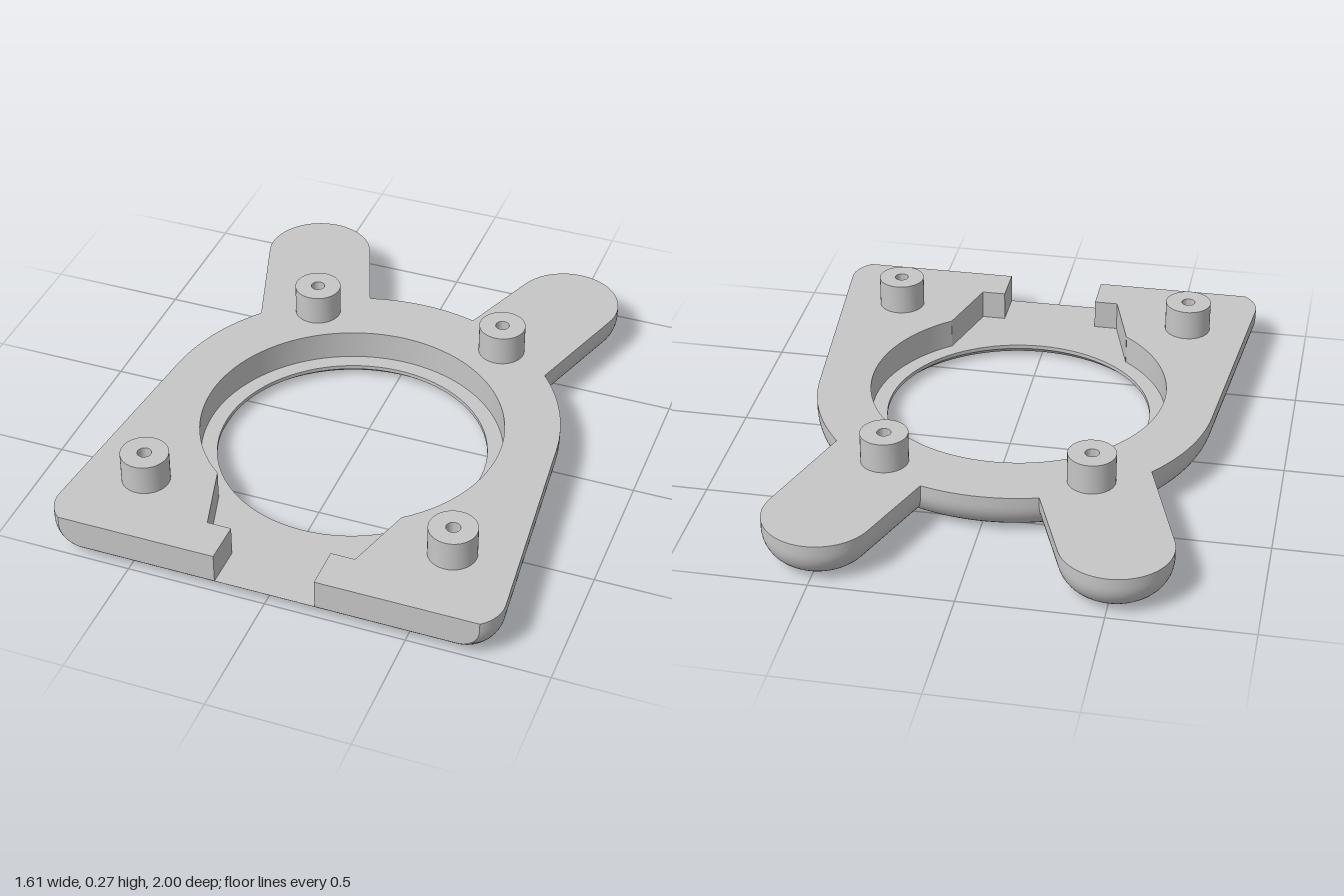
import * as THREE from 'three';
import { toCreasedNormals } from 'three/addons/utils/BufferGeometryUtils.js';

const TOP = 0.155, FLOOR = 0.045, FILLET = 0.12, HOLE_Z = 0.17, HOLE_R = 0.485;

// Fillet levels from the underside to the top face: [inset, height]
const levels = [];
const FLOOR_ANGLE = Math.acos(1 - FLOOR / FILLET);
for (let i = 0; i <= 12; i++) {
  const t = i <= 6 ? FLOOR_ANGLE * i / 6 : FLOOR_ANGLE + (Math.PI / 2 - FLOOR_ANGLE) * (i - 6) / 6;
  levels.push([FILLET * (1 - Math.sin(t)), FILLET * (1 - Math.cos(t))]);
}
levels.push([0, TOP]);

// Arc of [x, z] points, counter-clockwise seen from above
function arc(cx, cz, r, from, to, n) {
  return Array.from({ length: n + 1 }, (_, i) => {
    const b = from + (to - from) * i / n;
    return [cx + r * Math.cos(b), cz - r * Math.sin(b)];
  });
}

// Skin between rings of [x, y, z]; skip(k) leaves the closing strip open
function skin(rings, closed = true, skip = () => false) {
  const pos = [], n = rings[0].length;
  for (let k = 0; k + 1 < rings.length; k++) {
    for (let i = 0; i < n; i++) {
      if (i === n - 1 && (!closed || skip(k))) continue;
      const j = (i + 1) % n;
      const a = rings[k][i], b = rings[k][j], c = rings[k + 1][j], d = rings[k + 1][i];
      pos.push(...a, ...b, ...c, ...a, ...c, ...d);
    }
  }
  const g = new THREE.BufferGeometry();
  g.setAttribute('position', new THREE.Float32BufferAttribute(pos, 3));
  return toCreasedNormals(g, 0.5);
}

const atHeight = (pts, y) => pts.map(([x, z]) => [x, y, z]);

// Horizontal face facing up or down, with optional holes
function flat(pts, y, up, holes = []) {
  const s = up ? -1 : 1;
  const vec = (list) => list.map(([x, z]) => new THREE.Vector2(x, s * z));
  const shape = new THREE.Shape(vec(pts));
  holes.forEach((h) => shape.holes.push(new THREE.Path(vec(h))));
  return new THREE.ShapeGeometry(shape).rotateX(s * Math.PI / 2).translate(0, y, 0);
}

// Body outline: round back, tapered sides, rounded front corners cut flat at z = 1.
// The third value marks the points of the small side notches.
function bodyOutline(inset) {
  const a = 0.094, r = 0.13 - inset, cx = 0.675, cz = 0.896;
  const cut = -Math.asin(Math.min(1, (1 - cz) / r));
  const corner = [
    ...arc(cx, cz, r, -Math.PI / 2, cut, 4),
    ...arc(cx, cz, r, cut, a, 18).slice(1),
  ];
  const back = arc(0, 0.13, 0.73 - inset, a, Math.PI - a, 72);
  const p = corner.at(-1), q = back[0];
  const notch = [[0.205, 0], [0.205, 1], [0.145, 1], [0.145, 0]].map(([z, m]) => {
    const t = (z - p[1]) / (q[1] - p[1]);
    return [p[0] + (q[0] - p[0]) * t, z, m];
  });
  const side = [[0.18, cz + r], ...corner, ...notch];
  const mirrored = side.map(([x, z, m]) => [-x, z, m]).reverse();
  return [...side, ...back, ...mirrored].map(([x, z, m]) => [x, Math.min(z, 1), m]);
}

export function createModel() {
  const group = new THREE.Group();
  const grey = new THREE.MeshStandardMaterial({ color: 0xc6c6c6, side: THREE.DoubleSide });
  grey.name = 'lightGrey';
  const add = (name, geometry, parent = group) => {
    const mesh = new THREE.Mesh(geometry, grey);
    mesh.name = name;
    parent.add(mesh);
    return mesh;
  };

  // Body shell, with a notch under each side and a channel mouth at the front
  const INNER = 0.128;
  const rings = [atHeight(bodyOutline(INNER), 0)];
  [[INNER, 0], ...levels].forEach(([inset, y]) => {
    rings.push(bodyOutline(inset).map(([x, z, m]) => [x, m ? Math.max(y, 0.018) : y, z]));
  });
  add('bodyShell', skin(rings, true, (k) => rings[k][0][1] > FLOOR - 1e-4));

  // Round recess that opens through a stepped channel to the front
  const mouth = [[0.18, 1], [0.18, 0.848], [0.267, 0.848], [0.34, 0.592]];
  const start = -Math.atan2(0.422, 0.34);
  const recess = [
    ...mouth,
    ...arc(0, HOLE_Z, 0.543, start, Math.PI - start, 80),
    ...mouth.map(([x, z]) => [-x, z]).reverse(),
  ];
  const circle = (r) => arc(0, HOLE_Z, r, 0, Math.PI * 2, 80).slice(0, -1);
  add('recessWall', skin([atHeight(recess, TOP), atHeight(recess, FLOOR)], false));
  add('recessFloor', flat(recess, FLOOR, true, [circle(HOLE_R)]));
  add('bodyTop', flat([...bodyOutline(0), ...recess.slice(1, -1).reverse()], TOP, true));
  add('bodyUnderside', flat(bodyOutline(INNER), 0, false, [circle(0.52)]));

  // Through hole, chamfered below
  add('holeRim', skin([
    atHeight(circle(HOLE_R), FLOOR), atHeight(circle(HOLE_R), 0.03), atHeight(circle(0.52), 0),
  ]));

  // Slightly flared ears with a shallow slot underneath; local origin is the centre of the tip
  const EAR_R = 0.197, EAR_LEN = 0.5, FLARE = 0.012, SLOT_DEPTH = 0.03;
  const earOutline = (inset) => {
    const r = EAR_R - inset;
    return [[r + FLARE, EAR_LEN], ...arc(0, 0, r, 0, Math.PI, 32), [-r - FLARE, EAR_LEN]];
  };
  const slot = [
    ...arc(0, 0, 0.07, 0, Math.PI, 16),
    ...arc(0, 0.36, 0.07, Math.PI, Math.PI * 2, 16),
  ];
  for (const side of [1, -1]) {
    const ear = new THREE.Group();
    ear.name = side > 0 ? 'leftEar' : 'rightEar';
    add('earShell', skin(levels.map(([inset, y]) => atHeight(earOutline(inset), y)), false), ear);
    add('earTop', flat(earOutline(0), TOP, true), ear);
    add('earUnderside', flat(earOutline(FILLET), 0, false, [slot]), ear);
    add('slotWall', skin([atHeight(slot, SLOT_DEPTH), atHeight(slot, 0)]), ear);
    add('slotFloor', flat(slot, SLOT_DEPTH, false), ear);
    ear.position.set(side * 0.505, 0, -0.803);
    ear.rotation.y = -side * 0.336;
    group.add(ear);
  }

  // Screw posts with blind holes
  const profile = [[0.085, TOP], [0.085, 0.268], [0.025, 0.268], [0.025, 0.16], [0, 0.16]]
    .map(([x, y]) => new THREE.Vector2(x, y));
  const post = toCreasedNormals(new THREE.LatheGeometry(profile, 40), 0.5);
  for (const side of [1, -1]) {
    add('backPost', post).position.set(side * 0.365, 0, -0.43);
    add('frontPost', post).position.set(side * 0.56, 0, 0.705);
  }
  return group;
}
